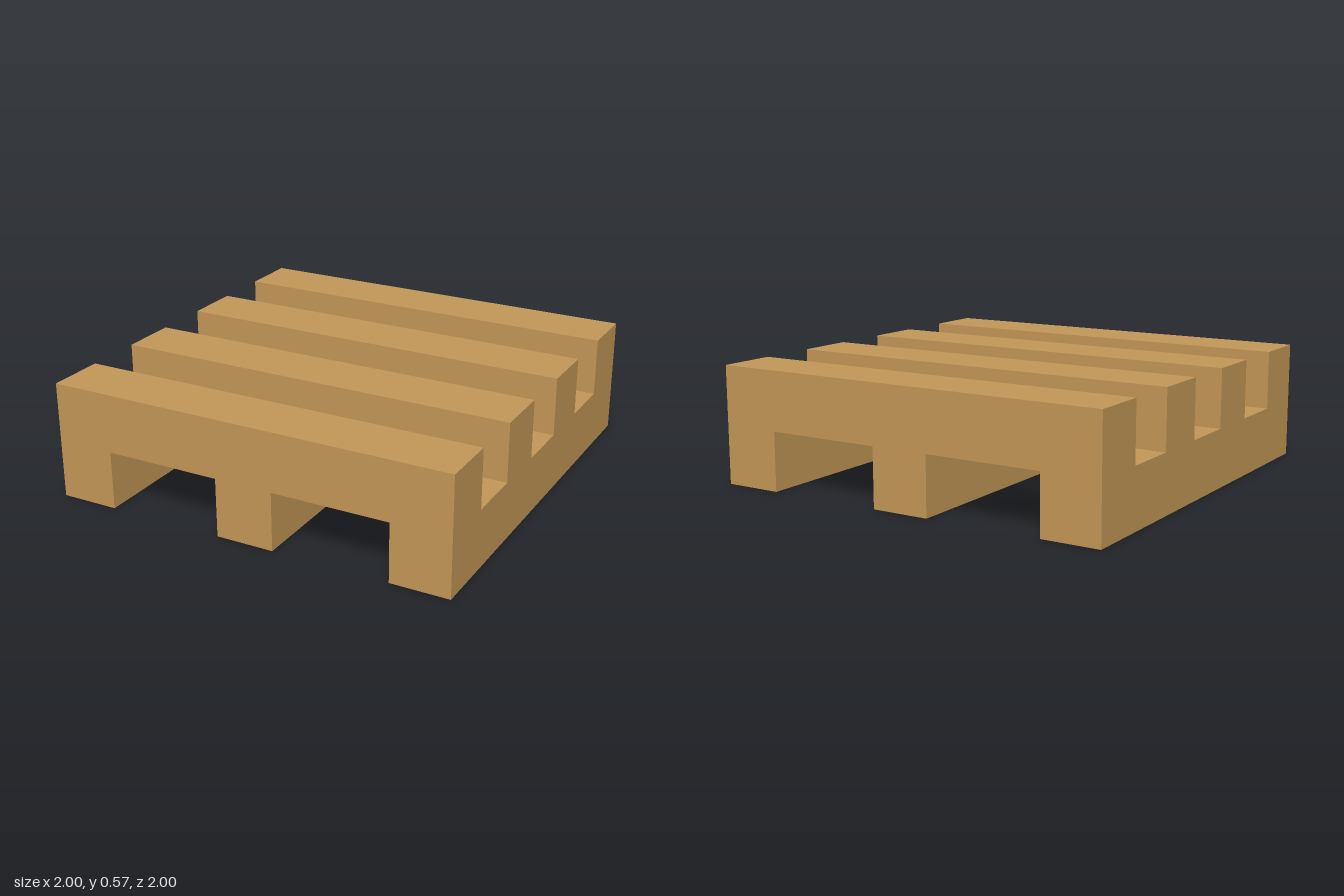
import * as THREE from 'three';

export function createModel() {
  const group = new THREE.Group();
  group.name = 'pallet';
  const wood = new THREE.MeshStandardMaterial({ color: 0xc29656 });
  wood.name = 'wood';

  // Every beam has a square section, one seventh of the pallet's width
  const size = 2;
  const unit = size / 7;

  function beam(name, w, d, x, y, z) {
    const mesh = new THREE.Mesh(new THREE.BoxGeometry(w, unit, d), wood);
    mesh.name = name;
    mesh.position.set(x, y, z);
    group.add(mesh);
  }

  // Three runners on the ground, front to back
  ['right', 'middle', 'left'].forEach((side, i) => {
    beam(side + 'Runner', unit, size, (i - 1) * 3 * unit, unit / 2, 0);
  });

  // Four slats across the runners
  for (let i = 0; i < 4; i++) {
    beam('slat' + (i + 1), size, unit, 0, unit * 1.5, (i - 1.5) * 2 * unit);
  }

  return group;
}
